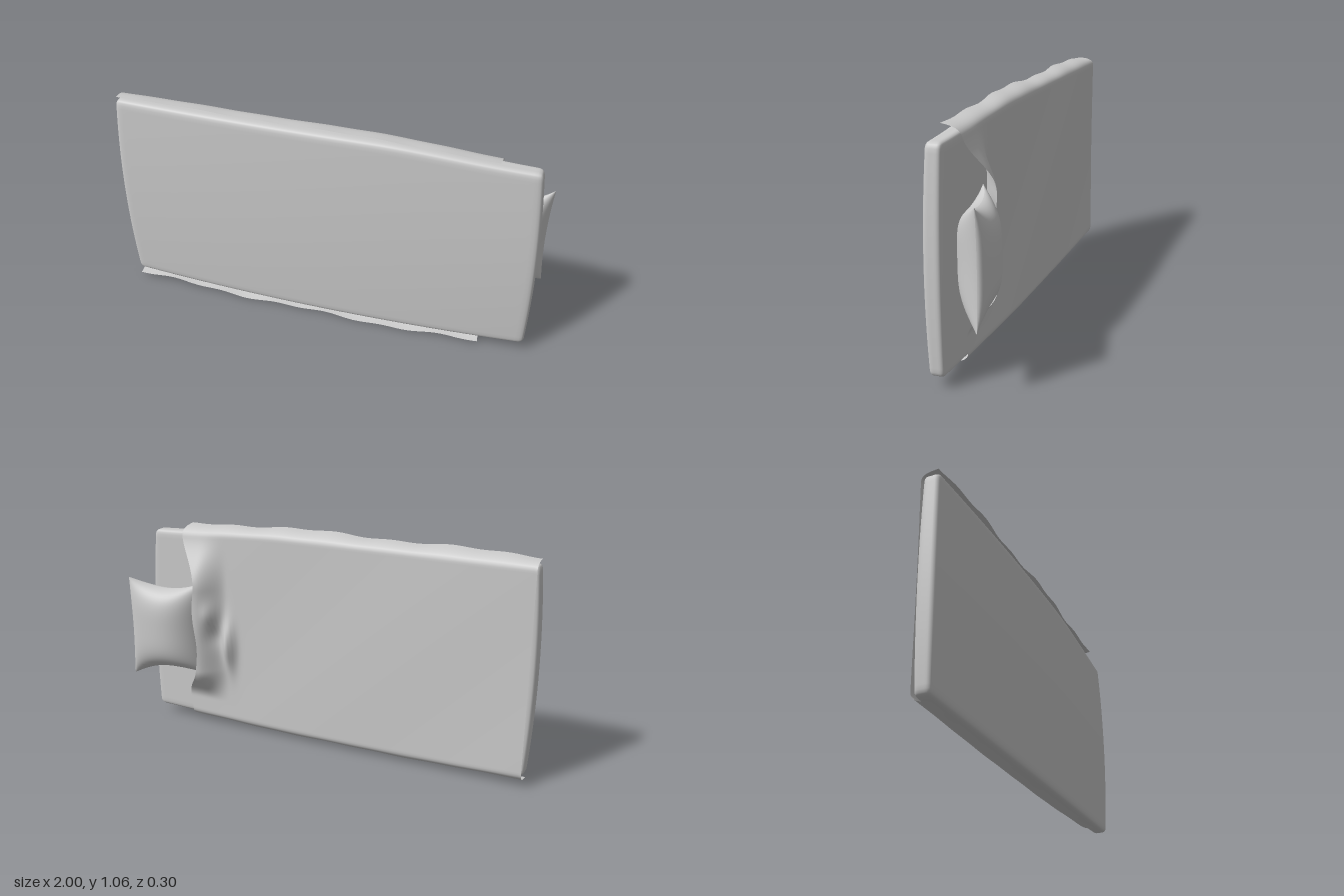
import * as THREE from 'three';
import { mergeVertices } from 'three/addons/utils/BufferGeometryUtils.js';

const { smoothstep, clamp, lerp } = THREE.MathUtils;
const solid = new THREE.MeshStandardMaterial({ color: 0xcccccc });
const cloth = new THREE.MeshStandardMaterial({ color: 0xcccccc, side: THREE.DoubleSide });

// Outline of the mattress along its length
const topY = x => 1.04 - 0.038 * smoothstep(x, 0.2, 1);
const bottomY = x => 0.042 + 0.02 * x * x;
const frontZ = (x, ny) => 0.149 - 0.025 * x * x - 0.008 * x - 0.011 * ny * ny;
const backZ = x => 0.042 - 0.004 * x;

// Grid of vertices placed by fn(u, v), both from -1 to 1
function sheet(fn, nu, nv) {
  const geo = new THREE.PlaneGeometry(2, 2, nu, nv);
  const p = geo.attributes.position;
  for (let i = 0; i < p.count; i++) p.setXYZ(i, ...fn(p.getX(i), p.getY(i)));
  geo.computeVertexNormals();
  return geo;
}

function part(name, geometry, material) {
  const mesh = new THREE.Mesh(geometry, material);
  mesh.name = name;
  return mesh;
}

// Rounded slab, slightly bowed and narrowed toward the head end
function mattressGeometry() {
  let geo = new THREE.BoxGeometry(2, 2, 2, 44, 30, 12);
  geo.deleteAttribute('uv');
  geo.deleteAttribute('normal');
  geo = mergeVertices(geo);
  const p = geo.attributes.position;
  const half = new THREE.Vector3(0.985, 0.49, 0.05), r = 0.026;
  const inner = half.clone().subScalar(r);
  const a = new THREE.Vector3(), c = new THREE.Vector3();
  const dense = t => Math.sin(t * Math.PI / 2); // rows crowd toward the edges
  for (let i = 0; i < p.count; i++) {
    a.set(dense(p.getX(i)), dense(p.getY(i)), dense(p.getZ(i))).multiply(half);
    c.copy(a).clamp(inner.clone().negate(), inner);
    a.sub(c);
    if (a.lengthSq() > 0) a.setLength(r);
    a.add(c).divide(half);
    const ny = a.y;
    const left = -1 + 0.02 * ny * ny;
    const right = 0.975 - 0.018 * ny * ny - 0.014 * ny;
    const x = lerp(left, right, (a.x + 1) / 2);
    p.setXYZ(i, x, lerp(bottomY(x), topY(x), (ny + 1) / 2),
      lerp(backZ(x), frontZ(x, ny), (a.z + 1) / 2));
  }
  geo.computeVertexNormals();
  return geo;
}

// Cover over the back face, folded round both long edges and lifted by the pillow
function blanketPoint(u, v) {
  const y0 = 0.54 + 0.5 * v;
  const raised = smoothstep(y0, 0.19, 0.35) * (1 - smoothstep(y0, 0.73, 0.98));
  const hem = 0.765 - 0.1 * raised + 0.008 * Math.sin(v * 9);
  const x = lerp(-0.975, hem, (u + 1) / 2);

  const f = clamp((Math.abs(v) - 0.84) / 0.16, 0, 1); // 0 flat, 1 at the hanging edge
  const wave = 0.006 * Math.sin(x * 9 + v) + 0.004 * Math.sin(x * 23 + 2 * v);
  const out = 0.01 + 0.012 * f + wave * f * 0.7;
  const low = bottomY(x) - out - 0.004 * f, high = topY(x) + out;
  const side = v > 0 ? high : low;
  const edge = v > 0 ? high - 0.03 : low + 0.03;
  const y = f > 0
    ? side + (edge - side) * (1 - f) ** 3
    : lerp(low + 0.03, high - 0.03, (v / 0.84 + 1) / 2);

  let z = backZ(x) - 0.009 + 0.0015 * Math.sin(5 * x + 3 * v) * (1 - f);
  z += (0.095 - 0.012 * x * x + 0.5 * wave) * f ** 1.6;
  // rise onto the pillow, with bunched folds in front of it
  z -= 0.096 * raised * smoothstep(x, 0.53, 0.67);
  const fold = (fx, fy, wx, wy, h) =>
    h * Math.exp(-(((x - fx) / wx) ** 2) - ((y - fy) / wy) ** 2);
  z -= fold(0.52, 0.46, 0.03, 0.12, 0.05) + fold(0.6, 0.62, 0.03, 0.06, 0.022)
    - fold(0.59, 0.5, 0.03, 0.05, 0.012);
  return [x, y, z];
}

// Cushion half: pinched corners, tilted up toward the head end
function pillowPoint(a, b, face) {
  const u = Math.sin(a * Math.PI / 2), v = Math.sin(b * Math.PI / 2);
  const x = 0.82 + 0.18 * u * (1 - 0.07 * (1 - v * v));
  const y = 0.5375 + 0.2525 * v * (1 - 0.17 * (1 - u * u)) * (0.97 + 0.03 * u);
  const plump = Math.max(0, (1 - u * u) * (1 - v ** 4)) ** 0.6;
  const z = -0.057 - 0.03 * u - 0.03 * u ** 3 + face * 0.088 * plump;
  return [x, y, z];
}

export function createModel() {
  const model = new THREE.Group();
  model.name = 'bed';
  model.add(part('mattress', mattressGeometry(), solid));
  model.add(part('blanket', sheet(blanketPoint, 120, 110), cloth));

  const pillow = new THREE.Group();
  pillow.name = 'pillow';
  for (const [name, face] of [['pillowFront', 1], ['pillowBack', -1]])
    pillow.add(part(name, sheet((a, b) => pillowPoint(a, b, face), 32, 32), cloth));
  model.add(pillow);
  return model;
}
